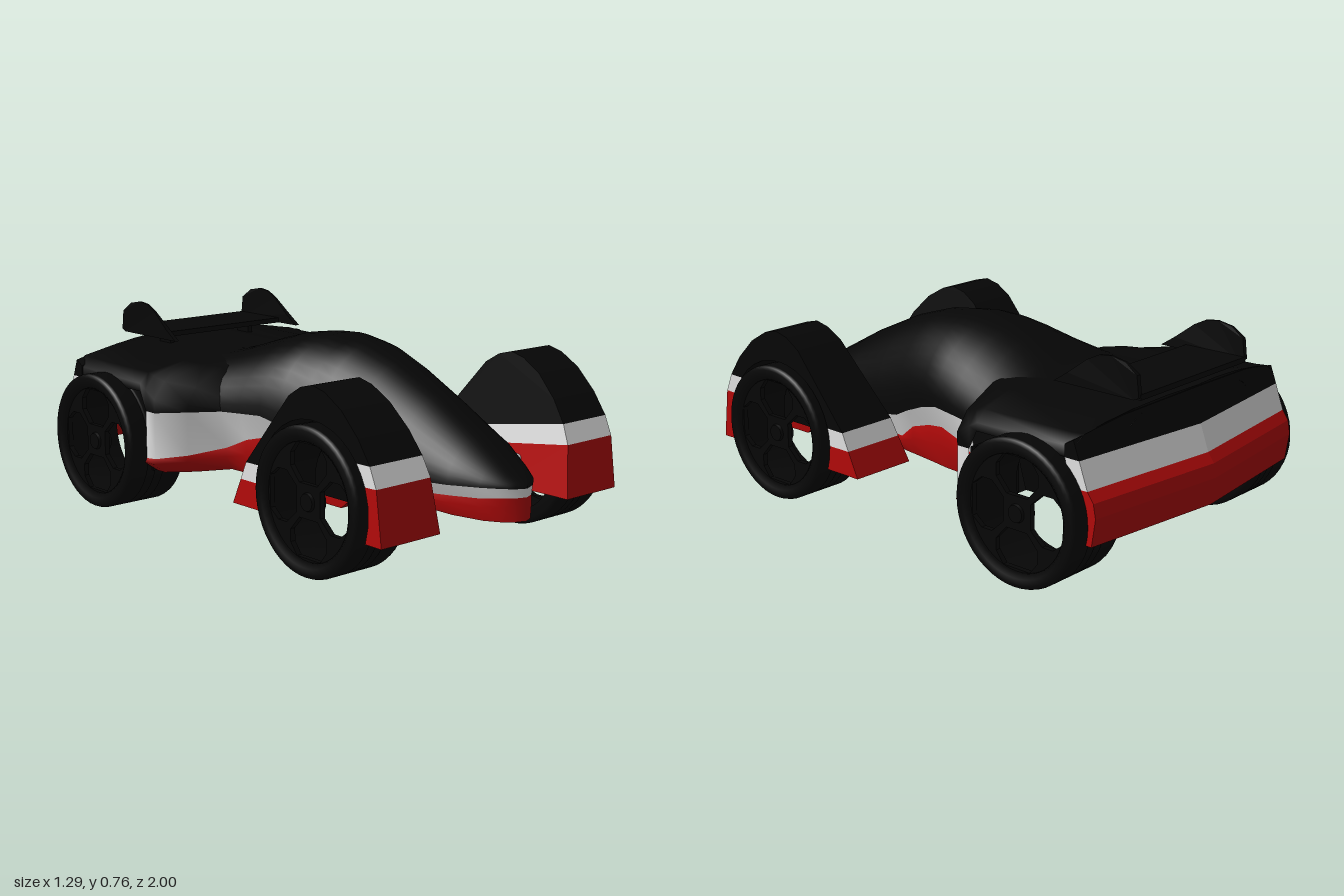
import * as THREE from 'three';

const paint = (name, color, side = THREE.FrontSide) => {
  const m = new THREE.MeshStandardMaterial({ color, side });
  m.name = name;
  return m;
};

export function createModel() {
  const black = paint('black', 0x060606, THREE.DoubleSide);
  const red = paint('red', 0xb60a0a);
  const white = paint('white', 0xe6e6e6);
  const model = new THREE.Group();

  const add = (parent, name, geo, mat) => {
    const m = new THREE.Mesh(geo, mat);
    m.name = name;
    parent.add(m);
    return m;
  };

  // Side profile of [z, y] points, extruded from x0 to x1
  const sideExtrude = (pts, x0, x1, steps = 1) => {
    const shape = new THREE.Shape(pts.map(([z, y]) => new THREE.Vector2(-z, y)));
    const g = new THREE.ExtrudeGeometry(shape, { depth: x1 - x0, steps, bevelEnabled: false });
    return g.rotateY(Math.PI / 2).translate(x0, 0, 0);
  };

  const bend = (g, rule) => {
    const p = g.attributes.position, v = new THREE.Vector3();
    for (let i = 0; i < p.count; i++) {
      rule(v.fromBufferAttribute(p, i));
      p.setXYZ(i, v.x, v.y, v.z);
    }
    g.computeVertexNormals();
    return g;
  };

  // Skin over rows of points
  const loft = rows => {
    const n = rows[0].length, index = [];
    for (let i = 0; i < rows.length - 1; i++)
      for (let j = 0; j < n - 1; j++) {
        const a = i * n + j, c = a + n;
        index.push(a, c, a + 1, a + 1, c, c + 1);
      }
    const g = new THREE.BufferGeometry();
    g.setAttribute('position', new THREE.Float32BufferAttribute(rows.flat(2), 3));
    g.setIndex(index);
    g.computeVertexNormals();
    return g;
  };

  // Central hull: z, half width, top, white top, white bottom, squareness, floor
  const hull = [
    [1.0, 0, 0.295, 0.285, 0.255, 1.8, 0.172], [0.985, 0.045, 0.31, 0.287, 0.255, 1.8, 0.172],
    [0.95, 0.09, 0.335, 0.29, 0.255, 1.8, 0.172], [0.9, 0.125, 0.37, 0.29, 0.25, 1.8, 0.172],
    [0.8, 0.18, 0.435, 0.29, 0.25, 1.8, 0.18], [0.6, 0.225, 0.545, 0.285, 0.24, 1.85, 0.195],
    [0.4, 0.262, 0.637, 0.295, 0.23, 1.95, 0.18], [0.25, 0.29, 0.685, 0.325, 0.235, 2.05, 0.172],
    [0.18, 0.302, 0.693, 0.36, 0.29, 2.1, 0.172], [0.08, 0.32, 0.703, 0.4, 0.322, 2.1, 0.172],
    [0, 0.337, 0.698, 0.42, 0.335, 2.05, 0.172], [-0.1, 0.352, 0.683, 0.415, 0.31, 1.95, 0.174],
    [-0.2, 0.37, 0.656, 0.41, 0.265, 1.9, 0.178], [-0.26, 0.375, 0.636, 0.41, 0.245, 2, 0.178],
    [-0.33, 0.378, 0.612, 0.41, 0.235, 2.2, 0.178], [-0.385, 0.38, 0.597, 0.41, 0.23, 2.6, 0.178],
    [-0.42, 0.38, 0.592, 0.41, 0.23, 3, 0.2], [-0.88, 0.38, 0.596, 0.41, 0.23, 3, 0.2],
  ];
  add(model, 'upperBody', loft(hull.map(([z, w, top, y1, , p]) =>
    Array.from({ length: 25 }, (_, k) => {
      const a = k / 24 * Math.PI, c = Math.cos(a), s = Math.abs(Math.sin(a));
      return [w * Math.sign(c) * Math.abs(c) ** (2 / p), y1 + (top - y1) * s ** (2 / p), z];
    }))), black);

  // Lower bands run unbroken around the nose and flare into pods before the rear wheels
  const pods = { '-0.26': 0.47, '-0.33': 0.57, '-0.385': 0.57 };
  const bandWidth = h => pods[h[0]] ?? h[1];
  const tuck = h => (pods[h[0]] ? 1 : 0.9);
  const front = hull.slice(0, -2);
  const wrap = section => loft([
    ...front.map(h => section(h, 1)).reverse(), ...front.slice(1).map(h => section(h, -1))]);
  add(model, 'whiteBand', wrap((h, s) => {
    const w = s * bandWidth(h);
    return [[w, h[3], h[0]], [w * tuck(h), h[4], h[0]]];
  }), white);
  add(model, 'redSkirt', wrap((h, s) => {
    const [z, , , , y0, , floor] = h, w = s * bandWidth(h) * tuck(h);
    return [[w, y0, z], [w * 1.015, (floor + y0) / 2 + 0.01, z], [w * 0.93, floor, z]];
  }), red);
  const floorHalf = h => bandWidth(h) * tuck(h) * 0.93;
  add(model, 'floor', loft(hull.map(h => [[-floorHalf(h), h[6], h[0]], [floorHalf(h), h[6], h[0]]])), black);
  for (const s of [1, -1]) {
    add(model, 'rearBodySide', loft(hull.slice(-2).map(([z, w, , y1, , , floor]) =>
      [[s * w * 0.837, floor, z], [s * w, y1, z]])), black);
    add(model, 'podBackWall', new THREE.BoxGeometry(0.24, 0.23, 0.01), black).position.set(s * 0.43, 0.295, -0.378);
  }

  // Rear deck, crowned and falling away to the sides: z, half section of [x, y]
  const tailShift = x => 0.065 * Math.abs(x) / 0.575;
  const deckRows = [
    [-0.19, [[0.365, 0.41], [0.365, 0.42], [0.345, 0.45], [0.28, 0.5], [0, 0.55]]],
    [-0.26, [[0.47, 0.41], [0.47, 0.44], [0.43, 0.5], [0.31, 0.562], [0, 0.585]]],
    [-0.33, [[0.57, 0.41], [0.57, 0.46], [0.52, 0.525], [0.35, 0.57], [0, 0.59]]],
    [-0.385, [[0.57, 0.41], [0.57, 0.49], [0.53, 0.54], [0.36, 0.572], [0, 0.592]]],
    [-0.42, [[0.57, 0.48], [0.57, 0.51], [0.53, 0.548], [0.36, 0.573], [0, 0.594]]],
    [-0.8, [[0.57, 0.48], [0.57, 0.52], [0.53, 0.552], [0.36, 0.577], [0, 0.598]]],
    [-0.91, [[0.57, 0.48], [0.57, 0.53], [0.53, 0.556], [0.36, 0.583], [0, 0.607]]],
  ];
  add(model, 'rearDeck', loft(deckRows.map(([z, half]) =>
    [...half, ...half.slice(0, -1).reverse().map(([x, y]) => [-x, y])]
      .map(([x, y]) => [x, y, z + (z < -0.9 ? tailShift(x) : 0)]))), black);

  // Shallow V-shaped tail panel in three bands
  [[black, [[-0.87, 0.59], [-0.905, 0.61], [-0.93, 0.48], [-0.87, 0.48]]],
    [white, [[-0.87, 0.48], [-0.93, 0.48], [-0.965, 0.385], [-0.9, 0.385]]],
    [red, [[-0.9, 0.385], [-0.965, 0.385], [-0.99, 0.35], [-1, 0.3], [-0.985, 0.2], [-0.93, 0.2]]],
  ].forEach(([m, pts]) => add(model, 'tailPanel', bend(sideExtrude(pts, -0.575, 0.575, 8), v => {
    v.z += tailShift(v.x);
    if (v.y > 0.55) v.y -= 0.065 * (v.x / 0.575) ** 2;
  }), m));

  // Rear wing
  add(model, 'wingPlate', new THREE.BoxGeometry(0.61, 0.02, 0.25), black).position.set(0, 0.635, -0.775);
  const finProfile = [[-0.54, 0.625], [-0.6, 0.665], [-0.68, 0.725], [-0.73, 0.75], [-0.78, 0.756],
    [-0.84, 0.745], [-0.89, 0.71], [-0.9, 0.635], [-0.88, 0.625]];
  for (const s of [1, -1]) {
    add(model, 'wingFin', bend(sideExtrude(finProfile, s * 0.307 - 0.009, s * 0.307 + 0.009), v => {
      if (v.y > 0.72) v.x = s * 0.307 + (v.x - s * 0.307) * 0.5;
    }), black);
    add(model, 'wingPylon', new THREE.BoxGeometry(0.02, 0.06, 0.07), black).position.set(s * 0.2, 0.605, -0.755);
  }

  // Front fenders: outline shared by the inner wall and the shell over the wheel
  const arc = (a0, a1, n = 12) => Array.from({ length: n + 1 }, (_, k) => {
    const a = (a0 + (a1 - a0) * k / n) * Math.PI / 180;
    return [0.575 + 0.275 * Math.cos(a), 0.26 + 0.275 * Math.sin(a)];
  });
  const F = [[0.91, 0.17], [0.885, 0.36], [0.855, 0.43]];
  const R = [[0.155, 0.17], [0.2, 0.265], [0.23, 0.33]];
  const crown = [[0.8, 0.51], [0.72, 0.59], [0.64, 0.637], [0.58, 0.652], [0.52, 0.637], [0.46, 0.6]];
  const notch = [[0.46, 0.17], [0.5, 0.2], [0.65, 0.2], [0.69, 0.17]];
  const wall = [
    [red, [F[0], F[1], R[1], R[0], ...notch]], [white, [F[1], F[2], R[2], R[1]]],
    [black, [F[2], ...crown, R[2]]],
  ];
  const shell = [
    [red, [F[0], F[1], ...arc(21, -19, 3)]], [white, [F[1], F[2], ...arc(38, 21, 2)]],
    [black, [F[2], ...crown, R[2], ...arc(165, 38)]],
    [white, [R[2], R[1], ...arc(179, 165, 2)]], [red, [R[1], R[0], ...arc(199, 179, 2)]],
  ];
  for (const s of [1, -1]) {
    const fender = new THREE.Group();
    fender.name = s > 0 ? 'leftFender' : 'rightFender';
    model.add(fender);
    const piece = (name, pts, x0, x1, m) => add(fender, name,
      bend(sideExtrude(pts, s > 0 ? x0 : -x1, s > 0 ? x1 : -x0),
        v => { if (Math.abs(v.x) < 0.4) v.x += s * (v.y - 0.17) * 0.12; }), m);
    wall.forEach(([m, pts]) => piece('fenderWall', pts, 0.32, 0.35, m));
    shell.forEach(([m, pts]) => piece('fenderShell', pts, 0.35, 0.585, m));
    piece('fenderLiner', arc(-12, 192, 20), 0.35, 0.357, black);
  }

  // Suspension arms, splayed out towards the hull
  for (const s of [1, -1])
    for (const [z0, z1] of [[0.475, 0.535], [0.7, 0.627]]) {
      const a = new THREE.Vector3(s * 0.15, 0.275, z0), b = new THREE.Vector3(s * 0.38, 0.268, z1);
      const arm = add(model, 'suspensionArm',
        new THREE.CylinderGeometry(0.02, 0.02, a.distanceTo(b), 12).scale(1, 1, 1.8), white);
      arm.position.copy(a).add(b).multiplyScalar(0.5);
      arm.quaternion.setFromUnitVectors(new THREE.Vector3(0, 1, 0), b.clone().sub(a).normalize());
    }

  // Wheels: grooved tyre, four-window rim, hub
  const rim = new THREE.Shape().absarc(0, 0, 0.212, 0, Math.PI * 2);
  const windowPts = [[-0.045, -0.06], [-0.09, -0.11], [-0.09, -0.155], [-0.058, -0.196],
    [0.058, -0.196], [0.09, -0.155], [0.09, -0.11], [0.045, -0.06]];
  for (let i = 0; i < 4; i++)
    rim.holes.push(new THREE.Path(windowPts.map(([x, y]) =>
      new THREE.Vector2(x, y).rotateAround(new THREE.Vector2(), i * Math.PI / 2))));
  const wheel = (s, x0, x1, z) => {
    const w = x1 - x0, g = new THREE.Group();
    g.name = z > 0 ? 'frontWheel' : 'rearWheel';
    const grooves = [0.35, 0.5, 0.65].flatMap(t =>
      [[0.26, t * w - 0.006], [0.255, t * w - 0.004], [0.255, t * w + 0.004], [0.26, t * w + 0.006]]);
    const tyre = [[0.205, 0], [0.245, 0], [0.256, 0.005], [0.26, 0.016], ...grooves,
      [0.26, w - 0.016], [0.256, w - 0.005], [0.245, w], [0.222, w], [0.205, w - 0.012], [0.205, 0]];
    add(g, 'tyre', new THREE.LatheGeometry(tyre.map(p => new THREE.Vector2(...p)), 48).rotateZ(-Math.PI / 2), black);
    add(g, 'rim', new THREE.ExtrudeGeometry(rim, { depth: 0.02, bevelEnabled: false, curveSegments: 32 })
      .rotateY(Math.PI / 2).translate(w - 0.04, 0, 0), black);
    add(g, 'hub', new THREE.CylinderGeometry(0.03, 0.045, 0.05, 20).rotateZ(-Math.PI / 2).translate(w - 0.035, 0, 0), black);
    g.position.set(s * x0, 0.26, z);
    if (s < 0) g.rotation.y = Math.PI;
    model.add(g);
  };
  for (const s of [1, -1]) {
    wheel(s, 0.39, 0.62, 0.575);
    wheel(s, 0.39, 0.643, -0.645);
  }
  return model;
}
